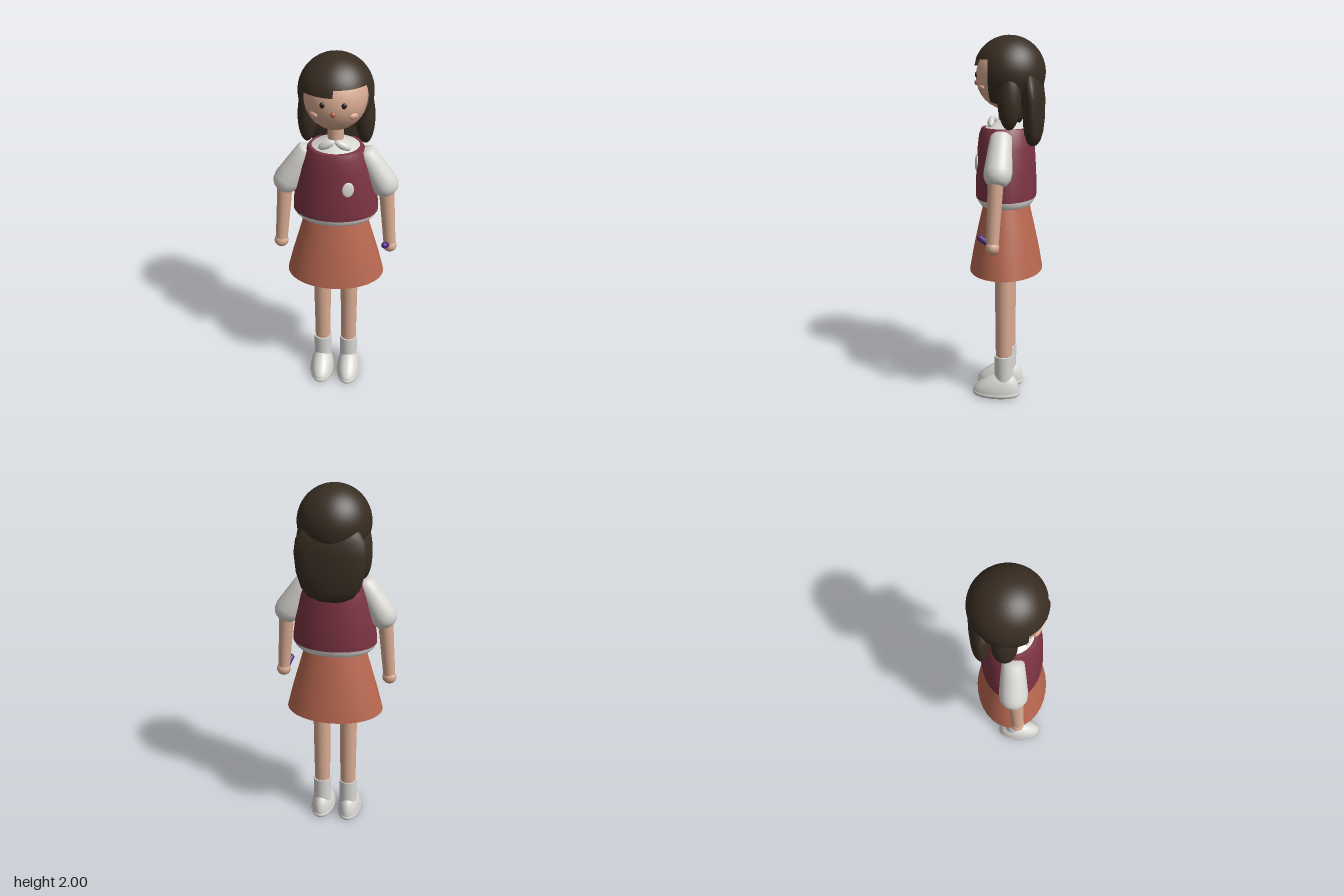
import * as THREE from 'three';

const mat = (name, color) => Object.assign(new THREE.MeshStandardMaterial({ color }), { name });

export function createModel() {
  const model = new THREE.Group();
  model.name = 'girl';
  const skin = mat('skin', 0xd9ab92);
  const hair = mat('dark brown hair', 0x392d22);
  hair.side = THREE.DoubleSide;
  const white = mat('white cloth', 0xd9d7d3);
  const wine = mat('wine red vest', 0x7c3442);
  const rust = mat('rust skirt', 0xb96850);
  const blush = mat('blush', 0xdba48c);
  const rose = mat('rose nose', 0xb4604f);
  const dark = mat('eye brown', 0x2a201b);
  const purple = mat('purple', 0x4c2a82);

  const add = (name, geo, material, x = 0, y = 0, z = 0, parent = model) => {
    const m = new THREE.Mesh(geo, material);
    m.name = name;
    m.position.set(x, y, z);
    parent.add(m);
    return m;
  };
  const ball = (name, material, pos, r, parent = model) =>
    add(name, new THREE.SphereGeometry(1, 24, 16).scale(...r), material, ...pos, parent);

  // Skin over elliptical rings [y, rx, rz, cz], bottom to top; a repeated ring makes a sharp edge
  const loft = (rings, n = 32) => {
    const pos = [], idx = [];
    rings.forEach(([y, rx, rz, cz = 0], i) => {
      for (let j = 0; j < n; j++) {
        const a = (j / n) * Math.PI * 2;
        pos.push(Math.sin(a) * rx, y, Math.cos(a) * rz + cz);
        if (i + 1 < rings.length) {
          const k = i * n + j, l = i * n + ((j + 1) % n);
          idx.push(k, l, k + n, l, l + n, k + n);
        }
      }
    });
    const g = new THREE.BufferGeometry();
    g.setAttribute('position', new THREE.Float32BufferAttribute(pos, 3));
    g.setIndex(idx);
    g.computeVertexNormals();
    return g;
  };

  // Places a part built along +y so that it starts at a and points to b
  const aim = (mesh, a, b) => {
    const from = new THREE.Vector3(...a), dir = new THREE.Vector3(...b).sub(from).normalize();
    mesh.position.copy(from);
    mesh.quaternion.setFromUnitVectors(new THREE.Vector3(0, 1, 0), dir);
    return mesh;
  };

  // Clothes on the body
  add('skirt', loft([
    [0.75, 0, 0], [0.745, 0.262, 0.19], [0.745, 0.262, 0.19], [0.745, 0.27, 0.2], [0.745, 0.27, 0.2],
    [0.87, 0.238, 0.178], [1.0, 0.2, 0.15], [1.13, 0.163, 0.12],
  ]), rust);
  add('shirtHem', loft([
    [1.115, 0, 0], [1.115, 0.2, 0.138], [1.115, 0.2, 0.138], [1.135, 0.218, 0.152], [1.16, 0.22, 0.154],
  ]), white);
  add('vest', loft([
    [1.155, 0, 0], [1.155, 0.228, 0.162], [1.155, 0.228, 0.162], [1.2, 0.226, 0.164], [1.3, 0.212, 0.16],
    [1.42, 0.186, 0.153], [1.49, 0.162, 0.145], [1.525, 0.14, 0.132], [1.525, 0.14, 0.132], [1.53, 0, 0],
  ]), wine);
  add('shirtYoke', loft([[1.515, 0.139, 0.128], [1.535, 0.11, 0.1], [1.55, 0.06, 0.06], [1.565, 0.045, 0.045], [1.565, 0, 0]]), white);
  const badge = ball('badge', white, [0.075, 1.345, 0.15], [0.031, 0.041, 0.008]);
  badge.rotation.set(-0.08, 0.28, 0);

  // Head
  add('neck', new THREE.CylinderGeometry(0.04, 0.042, 0.16, 24), skin, 0, 1.59, 0);
  ball('face', skin, [0, 1.79, 0], [0.16, 0.17, 0.16]);
  ball('nose', rose, [0, 1.757, 0.158], [0.014, 0.014, 0.012]);

  // Hair cap: back shell, then a stepped fringe, lower on the right
  const R = 0.189, cy = 1.811, cz = -0.017;
  const back = new THREE.SphereGeometry(R, 48, 32, 0, Math.PI * 2, Math.acos(0.09 / R), Math.PI).rotateX(Math.PI / 2);
  add('hairCap', back, hair, 0, cy, cz);
  const fringe = (name, phi, drop) => add(name,
    new THREE.SphereGeometry(R, 24, 20, phi, Math.PI / 2, 0, Math.acos(drop / R)), hair, 0, cy, cz);
  fringe('rightFringe', 0, 0.032);
  fringe('leftFringe', Math.PI / 2, 0.068);
  add('backHair', loft([
    [1.43, 0, 0, -0.142], [1.435, 0.07, 0.025, -0.142], [1.455, 0.115, 0.04, -0.142], [1.5, 0.15, 0.05, -0.145],
    [1.58, 0.174, 0.056, -0.148], [1.68, 0.184, 0.058, -0.146], [1.75, 0.175, 0.055, -0.14],
    [1.82, 0.13, 0.04, -0.13], [1.86, 0, 0, -0.12],
  ]), hair);

  // Shoe upper: a ball with a flat base that slopes down to the toe
  const shoe = new THREE.SphereGeometry(1, 32, 24);
  const p = shoe.attributes.position;
  for (let i = 0; i < p.count; i++) {
    const t = p.getZ(i);
    p.setXYZ(i, p.getX(i) * 0.068, Math.max(0, p.getY(i)) * 0.125 * (0.86 - 0.37 * t), t * 0.133);
  }
  shoe.computeVertexNormals();
  const sole = loft([
    [0, 0, 0], [0, 0.062, 0.128], [0, 0.062, 0.128], [0.01, 0.071, 0.137], [0.022, 0.071, 0.137], [0.03, 0.064, 0.13], [0.03, 0, 0],
  ]);
  const sleeve = loft([
    [-0.005, 0, 0], [0, 0.035, 0.04], [0.015, 0.05, 0.055], [0.08, 0.058, 0.062], [0.16, 0.067, 0.069],
    [0.21, 0.073, 0.073], [0.245, 0.069, 0.069], [0.27, 0.055, 0.055], [0.282, 0.038, 0.038], [0.282, 0, 0],
  ]);

  // Paired parts
  for (const s of [1, -1]) {
    const side = s > 0 ? 'left' : 'right';
    ball(side + 'Eye', dark, [s * 0.052, 1.8, 0.149], [0.013, 0.015, 0.009]);
    const cheek = ball(side + 'Cheek', blush, [s * 0.097, 1.736, 0.115], [0.025, 0.016, 0.012]);
    cheek.rotation.y = s * 0.65;
    const collar = ball(side + 'Collar', white, [s * 0.042, 1.557, 0.075], [0.045, 0.021, 0.018]);
    collar.rotation.set(-0.5, s * 0.3, -s * 0.4);
    const lock = ball(side + 'HairLock', hair, [s * 0.143, 1.685, -0.035], [0.053, 0.16, 0.062]);
    lock.rotation.z = s * 0.05;

    aim(add(side + 'Sleeve', sleeve, white), [s * 0.145, 1.505, 0.005], [s * 0.285, 1.265, 0.008]);
    const arm = new THREE.CylinderGeometry(0.033, 0.041, 0.34, 24).translate(0, 0.17, 0);
    aim(add(side + 'Arm', arm, skin), [s * 0.267, 1.3, 0.015], [s * 0.297, 0.96, 0.03]);
    ball(side + 'Hand', skin, [s * 0.299, 0.94, 0.03], [0.039, 0.038, 0.036]);

    add(side + 'Leg', new THREE.CylinderGeometry(0.05, 0.045, 0.6, 28), skin, s * 0.077, 0.5, 0.004);
    add(side + 'Sock', new THREE.CylinderGeometry(0.053, 0.051, 0.16, 28), white, s * 0.078, 0.165, 0.005);
    add(side + 'Shoe', shoe, white, s * 0.081, 0.022, 0.048);
    add(side + 'Sole', sole, white, s * 0.081, 0, 0.048);
  }

  // Small rod held in the left hand
  const rod = new THREE.CapsuleGeometry(0.017, 0.075, 8, 16).translate(0, 0.0375, 0);
  aim(add('handRod', rod, purple), [0.287, 0.945, 0.035], [0.27, 0.983, 0.1]);

  return model;
}
